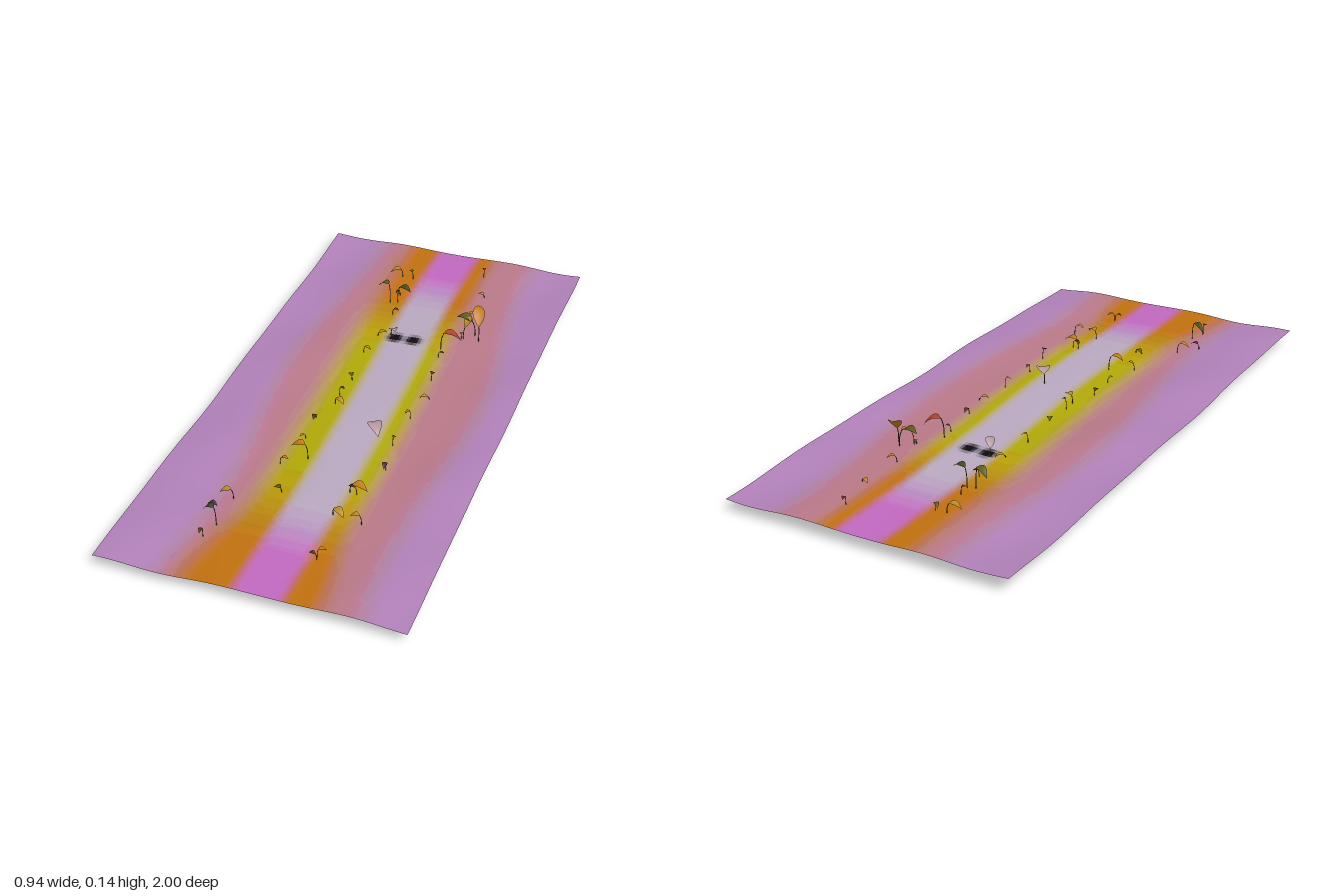
import * as THREE from 'three';

const smooth = THREE.MathUtils.smoothstep;
const WIDTH = 0.94, LENGTH = 2, NX = 94, NZ = 120;

// gently rippled ground, calmer along the central channel
function groundHeight(x, z) {
  const calm = 0.35 + 0.65 * smooth(Math.abs(x - 0.04), 0.02, 0.4);
  const ripple = 0.45 * Math.sin(17 * x + 2.2 * z + 0.5) + 0.35 * Math.sin(7 * z - 5 * x + 1)
    + 0.2 * Math.sin(13 * z + 9 * x);
  return 0.045 + 0.0105 * calm * ripple;
}

// bands of colour running along the ground
const tint = {
  lilac: new THREE.Color(0xae7fba), rose: new THREE.Color(0xb67a88),
  orange: new THREE.Color(0xbd6c10), yellow: new THREE.Color(0xb3a408),
  pale: new THREE.Color(0xb8a8bc), magenta: new THREE.Color(0xbd66bd), black: new THREE.Color(0x0c0a0c),
};
function groundColor(x, z) {
  const d = x - 0.02 - 0.015 * Math.sin(3 * z + 0.6) - 0.02 * Math.max(z, 0) ** 2;
  const a = Math.abs(d);
  const ends = z < 0 ? smooth(-z, 0.3, 0.7) : smooth(z, 0.4, 0.85);
  const spread = (d < 0 ? 1 : 0.75) * (1 + 0.35 * smooth(z, 0.6, 1));
  const edge = 0.03 * Math.sin(4 * z + 2);
  const band = tint.yellow.clone().lerp(tint.orange, ends);
  const c = tint.pale.clone().lerp(tint.magenta, smooth(Math.abs(z), 0.55, 0.85));
  c.lerp(band, smooth(a, 0.05, 0.095));
  c.lerp(tint.rose, smooth(a, 0.14 * spread, 0.24 * spread));
  c.lerp(tint.lilac, smooth(a, 0.25 + edge, 0.38 + edge));
  // pair of dark patches in the channel
  for (const sx of [-0.032, 0.032]) {
    c.lerp(tint.black, 1 - smooth(Math.hypot(x - sx, z + 0.38), 0.015, 0.042));
  }
  return c;
}

function buildGround() {
  const geo = new THREE.PlaneGeometry(WIDTH, LENGTH, NX, NZ).rotateX(-Math.PI / 2);
  const p = geo.attributes.position;
  for (let i = 0; i < p.count; i++) p.setY(i, groundHeight(p.getX(i), p.getZ(i)));
  geo.computeVertexNormals();

  // sort the cells into a limited palette, one material for each shade
  const palette = new Map();
  const src = geo.index.array;
  const q = (v) => Math.min(255, Math.round(v / 8) * 8);
  for (let cell = 0; cell < NX * NZ; cell++) {
    const corners = src.slice(cell * 6, cell * 6 + 6);
    const x = (p.getX(corners[0]) + p.getX(corners[4])) / 2;
    const z = (p.getZ(corners[0]) + p.getZ(corners[4])) / 2;
    const hex = groundColor(x, z).getHex();
    const key = (q(hex >> 16) << 16) | (q((hex >> 8) & 255) << 8) | q(hex & 255);
    if (!palette.has(key)) palette.set(key, []);
    palette.get(key).push(...corners);
  }
  const index = [], materials = [];
  for (const [color, list] of palette) {
    geo.addGroup(index.length, list.length, materials.length);
    for (const v of list) index.push(v);
    materials.push(new THREE.MeshStandardMaterial({ color, side: THREE.DoubleSide }));
  }
  geo.setIndex(index);
  const ground = new THREE.Mesh(geo, materials);
  ground.name = 'ground';
  return ground;
}

const DROOP = 0.9;

// pointed oval blade along +z, centred on its middle, tilted and arched
function leafGeometry(length, rise) {
  const geo = new THREE.PlaneGeometry(2, 1, 6, 10).rotateX(-Math.PI / 2);
  const p = geo.attributes.position;
  for (let i = 0; i < p.count; i++) {
    const s = p.getX(i), u = p.getZ(i);
    const half = Math.sin(Math.PI * Math.max(u + 0.5, 0) ** 0.8) * length * 0.33;
    p.setXYZ(i, s * half, length * (rise * u - DROOP * u * u) + 0.25 * half * s * s, u * length);
  }
  geo.computeVertexNormals();
  return geo;
}

const plantMaterial = {};
for (const [name, color] of Object.entries({
  gold: 0xb98a20, orange: 0xc07a10, olive: 0x5c5a1c, green: 0x3c4a22, brown: 0x5a3018,
  red: 0xb0432c, pale: 0xb59aa0, plum: 0x4a2a4c, stem: 0x5a4a22, root: 0x8a3a48,
})) plantMaterial[name] = new THREE.MeshStandardMaterial({ color, side: THREE.DoubleSide });

function tube(name, points, radius, material) {
  const mesh = new THREE.Mesh(
    new THREE.TubeGeometry(new THREE.CatmullRomCurve3(points), 8, radius, 5), material);
  mesh.name = name;
  return mesh;
}

// x, y, z is the middle of the leaf; root is the height its lowest root reaches
function buildPlant(x, y, z, length, heading, rise, color, root) {
  const plant = new THREE.Group();
  plant.name = 'plant';
  const angle = THREE.MathUtils.degToRad(heading);
  const dx = Math.sin(angle), dz = Math.cos(angle);

  const leaf = new THREE.Mesh(leafGeometry(length, rise), plantMaterial[color]);
  leaf.name = 'leaf';
  leaf.position.set(x, y, z);
  leaf.rotation.y = angle;
  plant.add(leaf);

  // curved stem from the soil to the base of the blade
  const tip = new THREE.Vector3(
    x - dx * length / 2, y - length * (rise / 2 + DROOP / 4), z - dz * length / 2);
  const fx = tip.x - dx * length * 0.15, fz = tip.z - dz * length * 0.15;
  const foot = new THREE.Vector3(fx, groundHeight(fx, fz) - 0.006, fz);
  const bend = foot.clone().lerp(tip, 0.25).setY(foot.y + (tip.y - foot.y) * 0.7);
  plant.add(tube('stem', [foot, bend, tip], 0.0008 + length * 0.012, plantMaterial.stem));

  // thin root hanging below the ground
  if (root !== undefined) {
    const end = new THREE.Vector3(fx + 0.006, root, fz);
    const mid = new THREE.Vector3(fx - 0.004, (root + foot.y) / 2, fz + 0.004);
    plant.add(tube('root', [foot, mid, end], 0.0009, plantMaterial.root));
  }
  return plant;
}

// the larger plants: x, y, z, leaf length, heading in degrees, rise, colour, root
const largePlants = [
  [0.23, 0.133, -0.49, 0.064, 200, 0.75, 'orange', 0.012],
  [0.185, 0.115, -0.48, 0.06, 265, 0.1, 'olive'],
  [0.2, 0.108, -0.47, 0.04, 160, 0.6, 'gold'],
  [0.175, 0.108, -0.37, 0.06, 110, -0.5, 'red'],
  [-0.16, 0.08, -0.765, 0.04, 285, -0.4, 'gold'],
  [-0.15, 0.115, -0.605, 0.045, 250, -0.5, 'olive'],
  [-0.07, 0.112, -0.6, 0.045, 80, -0.2, 'green'],
  [-0.035, 0.085, -0.37, 0.045, 35, 0.4, 'pale'],
  [-0.065, 0.075, 0.075, 0.036, 60, -0.2, 'gold'],
  [0.095, 0.088, 0.19, 0.07, 35, -0.15, 'pale'],
  [-0.09, 0.1, 0.37, 0.045, 275, -0.2, 'orange'],
  [0.15, 0.082, 0.485, 0.05, 85, -0.25, 'orange', 0.02],
  [0.13, 0.075, 0.61, 0.042, 60, -0.3, 'gold'],
  [-0.22, 0.078, 0.63, 0.036, 285, -0.3, 'gold'],
  [-0.22, 0.105, 0.75, 0.042, 255, -0.6, 'green'],
  [0.12, 0.066, 0.8, 0.022, 270, 0, 'brown', 0.001],
];

// small sprouts scattered along both banks of the channel
function addSprouts(model) {
  let seed = 7;
  const random = () => (seed = (seed * 16807) % 2147483647) / 2147483647;
  const colors = ['brown', 'olive', 'gold', 'plum', 'orange'];
  const count = 26;
  for (let i = 0; i < count; i++) {
    const z = -0.88 + 1.76 * (i + random() * 0.6) / count;
    const left = -0.07 - 0.05 * random() - 0.13 * smooth(z, 0.5, 0.7);
    const x = i % 2 ? left : 0.12 + 0.07 * random();
    const length = 0.016 + 0.014 * random();
    const y = groundHeight(x, z) + 0.012 + 0.024 * random();
    model.add(buildPlant(x, y, z, length, 360 * random(), -0.4 * random(), colors[i % colors.length]));
  }
}

export function createModel() {
  const model = new THREE.Group();
  model.name = 'plantedGround';
  model.add(buildGround());
  for (const spec of largePlants) model.add(buildPlant(...spec));
  addSprouts(model);
  return model;
}
